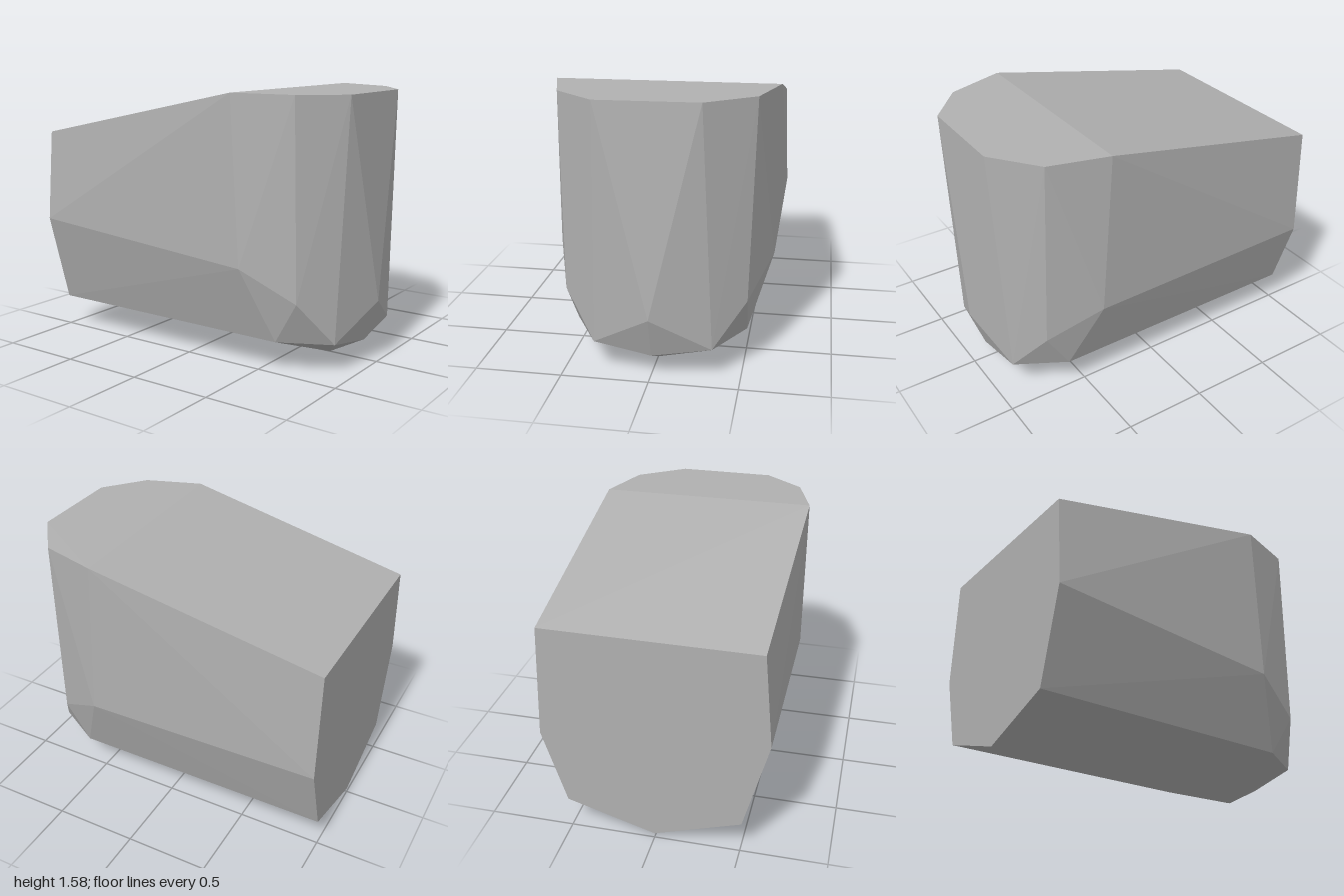
import * as THREE from 'three';
import { ConvexGeometry } from 'three/addons/geometries/ConvexGeometry.js';

export function createModel() {
  const group = new THREE.Group();
  group.name = 'facetedBlock';
  const grey = new THREE.MeshStandardMaterial({ color: 0xb0b0b0 });
  grey.name = 'stone grey';

  // Paired corners, each as [x, y of front, z of front, y of back, z of back]
  const pairs = [
    // sloping top, from the flat end to the rounded end
    [-1, 1.285, 0.605, 1.295, -0.625],
    [0.4, 1.576, 0.637, 1.578, -0.655],
    [0.745, 1.57, 0.535, 1.572, -0.553],
    [0.95, 1.567, 0.297, 1.57, -0.283],
    // widest line of the sides
    [-1, 0.735, 0.652, 0.63, -0.652],
    [0.45, 0.61, 0.628, 0.6, -0.645],
    // chamfer corners
    [0.76, 0.43, 0.52, 0.42, -0.52],
    // lower edge
    [-1, 0.19, 0.505, 0.185, -0.515],
    [0.61, 0.182, 0.495, 0.182, -0.51],
    [0.9, 0.175, 0.33, 0.175, -0.34],
  ];
  // Centre line: keel, chin and nose
  const centre = [[-1, 0.027], [0.69, 0], [0.915, 0.12], [1, 0.37]];

  const points = centre.map(([x, y]) => new THREE.Vector3(x, y, 0));
  for (const [x, yf, zf, yb, zb] of pairs) {
    points.push(new THREE.Vector3(x, yf, zf), new THREE.Vector3(x, yb, zb));
  }

  // Flat facets stretched over the corners
  const body = new THREE.Mesh(new ConvexGeometry(points), grey);
  body.name = 'body';
  group.add(body);
  return group;
}
